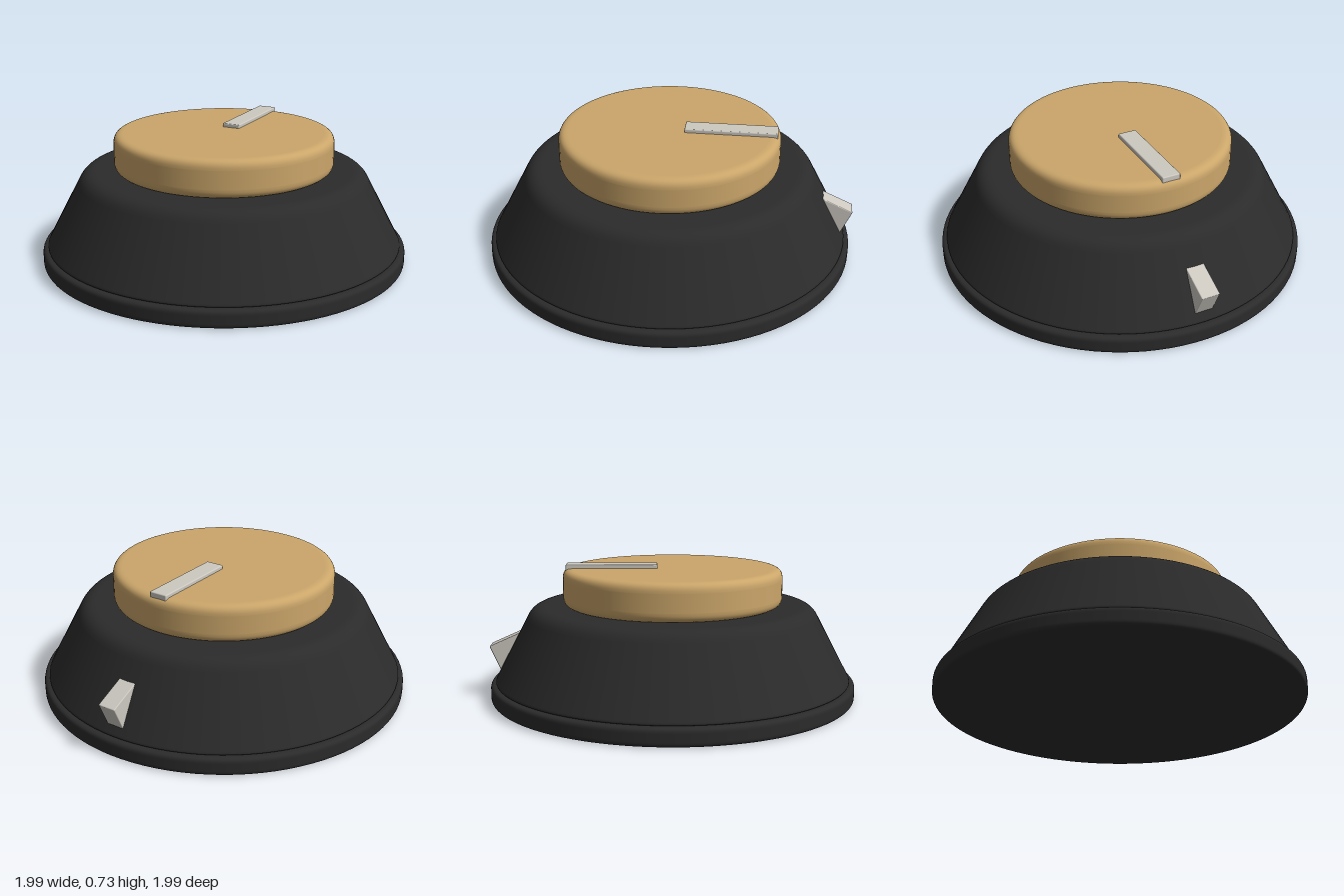
import * as THREE from 'three';
import { RoundedBoxGeometry } from 'three/addons/geometries/RoundedBoxGeometry.js';

// Turned solid: corners are [radius, height, rounding], listed from bottom axis to top axis
function turned(corners) {
  const pts = [];
  corners.forEach(([r, y, round], i) => {
    const c = new THREE.Vector2(r, y);
    if (!round) { pts.push(c); return; }
    const toward = ([pr, py], d) =>
      new THREE.Vector2(pr, py).sub(c).setLength(d).add(c);
    const prev = corners[i - 1], next = corners[i + 1];
    const curve = new THREE.QuadraticBezierCurve(toward(prev, round), c, toward(next, round));
    // extra points beside the arc keep the flat faces evenly shaded
    pts.push(toward(prev, round * 1.05), ...curve.getPoints(8), toward(next, round * 1.05));
  });
  return new THREE.LatheGeometry(pts, 96);
}

export function createModel() {
  const black = new THREE.MeshStandardMaterial({ color: 0x2b2b2b });
  black.name = 'matte black';
  const brass = new THREE.MeshStandardMaterial({ color: 0xcba66a });
  brass.name = 'brass';
  const ivory = new THREE.MeshStandardMaterial({ color: 0xcdc9c1 });
  ivory.name = 'ivory';

  const model = new THREE.Group();
  model.name = 'controlKnob';
  const add = (name, geometry, material) => {
    const mesh = new THREE.Mesh(geometry, material);
    mesh.name = name;
    model.add(mesh);
    return mesh;
  };

  // Flat round foot
  add('baseDisc', turned([[0, 0], [0.994, 0, 0.025], [0.994, 0.095, 0.025], [0, 0.095]]), black);

  // Sloping skirt
  add('skirt', turned([[0, 0.09], [0.972, 0.097, 0.02], [0.758, 0.505, 0.06], [0, 0.505]]), black);

  // Raised cap
  add('cap', turned([[0, 0.5], [0.595, 0.505, 0.05], [0.595, 0.705, 0.05], [0, 0.705]]), brass);

  // Pointer bar on the cap
  add('pointer', new RoundedBoxGeometry(0.1, 0.04, 0.495, 2, 0.006), ivory)
    .position.set(0, 0.705, -0.33);

  // Index block, tilted and sunk into the back of the skirt
  const block = add('indexBlock', new RoundedBoxGeometry(0.1, 0.2, 0.2, 2, 0.005), ivory);
  block.rotation.x = -0.42;
  block.position.set(0, 0.229, -0.868);

  // Offset so that the block and foot together are centred
  model.children.forEach((part) => { part.position.z += 0.003; });
  return model;
}
